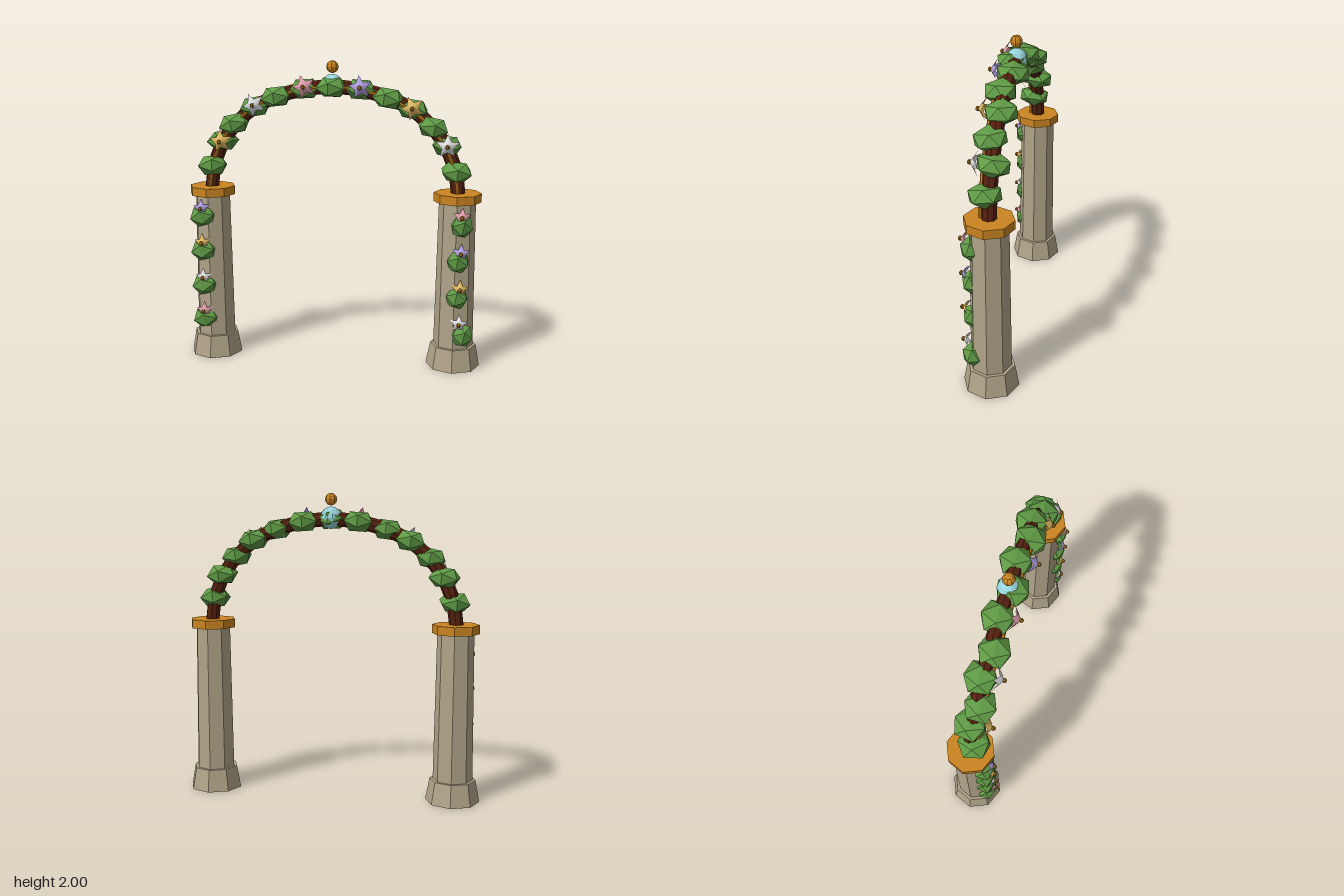
import * as THREE from 'three';

const mat = (name, color, extra = {}) => {
  const m = new THREE.MeshStandardMaterial({ color, flatShading: true, ...extra });
  m.name = name;
  return m;
};

export function createModel() {
  const group = new THREE.Group();
  const two = { side: THREE.DoubleSide };
  const stone = mat('stone', 0xb0a488);
  const orange = mat('orange gold', 0xc98420);
  const bark = mat('bark', 0x54200f);
  const green = mat('leaf green', 0x5f9a45);
  const blue = mat('pale blue', 0x98d4da);
  const stamen = mat('stamen gold', 0x9a6c1c);
  const petals = {
    pink: mat('pink petal', 0xdf9fac, two),
    lilac: mat('lilac petal', 0xb09fe2, two),
    yellow: mat('yellow petal', 0xdfb862, two),
    white: mat('white petal', 0xdedee2, two),
  };

  let seed = 7;
  const rand = () => (seed = (seed * 16807) % 2147483647) / 2147483647;

  const add = (name, geo, material, x, y, z) => {
    const m = new THREE.Mesh(geo, material);
    m.name = name;
    m.position.set(x, y, z);
    group.add(m);
    return m;
  };

  // Leaf clump: squashed icosahedron with a small turn
  const leafGeo = new THREE.IcosahedronGeometry(0.1, 0);
  const leaf = (x, y, z, sx, sy, sz, tilt = 0) => {
    const m = add('leafClump', leafGeo, green, x, y, z);
    m.scale.set(sx, sy, sz);
    m.rotation.set((rand() - 0.5) * 0.3, (rand() - 0.5) * 0.5, tilt);
  };

  // Five-pointed star flower, raised towards its centre
  const starPoints = [];
  for (let i = 0; i < 10; i++) {
    const a = Math.PI / 2 + (i * Math.PI) / 5;
    const r = i % 2 ? 0.5 : 1;
    starPoints.push(new THREE.Vector3(Math.cos(a) * r, Math.sin(a) * r, i % 2 ? -0.35 : -0.7));
  }
  const tris = [];
  starPoints.forEach((p, i) => tris.push(new THREE.Vector3(), p, starPoints[(i + 1) % 10]));
  const starGeo = new THREE.BufferGeometry().setFromPoints(tris);
  starGeo.computeVertexNormals();
  const stamenGeo = new THREE.SphereGeometry(0.015, 6, 5);
  const flower = (color, x, y, z, r, turn) => {
    const m = add('flower', starGeo, petals[color], x, y, z);
    m.scale.setScalar(r);
    m.rotation.z = turn;
    add('flowerCentre', stamenGeo, stamen, x, y, z);
  };

  // Pillars
  const drum = (rt, rb, h) => new THREE.CylinderGeometry(rt, rb, h, 8);
  for (const s of [-1, 1]) {
    const x = s * 0.815;
    add('pillarBase', drum(0.15, 0.177, 0.147), stone, x, 0.0735, 0);
    add('pillarShaft', drum(0.118, 0.13, 0.98), stone, x, 0.635, 0);
    add('pillarCap', drum(0.153, 0.153, 0.057), orange, x, 1.142, 0);
  }

  // Arch vine, with a thin golden cord along its front
  const half = [[0.82, 1.14], [0.795, 1.31], [0.73, 1.47], [0.64, 1.59],
    [0.51, 1.7], [0.36, 1.77], [0.18, 1.82]];
  const path = [...half.map(([x, y]) => [-x, y]), [0, 1.835], ...half.slice().reverse()];
  const curve = (z) => new THREE.CatmullRomCurve3(path.map(([x, y]) => new THREE.Vector3(x, y, z)));
  add('archVine', new THREE.TubeGeometry(curve(0), 32, 0.046, 8), bark, 0, 0, 0);
  add('archCord', new THREE.TubeGeometry(curve(0.05), 32, 0.011, 6), orange, 0, 0, 0);

  // Leaf clumps along the arch, alternating front and back
  path.slice(1, -1).forEach(([x, y], i) => {
    const front = i % 2 === 0;
    const tilt = -x * (Math.abs(x) > 0.7 ? 0.1 : 0.35);
    leaf(x * 1.01, y, front ? 0.025 : -0.012, 1.08, 0.72, 1.12, tilt);
  });

  // Arch flowers
  [['yellow', -0.725, 1.48, 0.1], ['white', -0.5, 1.72, 0.5], ['pink', -0.17, 1.84, 0.35],
    ['lilac', 0.19, 1.84, 0.15], ['yellow', 0.52, 1.715, 0.4], ['white', 0.745, 1.48, 0.0],
  ].forEach(([c, x, y, t]) => flower(c, x, y, 0.125, 0.077, t));

  // Pillar flowers with a leaf clump below each
  const rows = [1.04, 0.805, 0.565, 0.33];
  const left = ['lilac', 'yellow', 'white', 'pink'];
  const right = ['pink', 'lilac', 'yellow', 'white'];
  const rightLeafX = [0.848, 0.832, 0.832, 0.872];
  rows.forEach((y, i) => {
    flower(left[i], -0.855, y, 0.165, 0.06, 0.1);
    flower(right[i], 0.85, y, 0.165, 0.06, -0.05);
    leaf(-0.857, y - 0.06, 0.1, 0.95, 0.78, 0.72, 0.2);
    leaf(rightLeafX[i], y - 0.065 - (i === 3 ? 0.025 : 0), 0.1, 0.78, 0.85, 0.72, -0.2);
  });

  // Crown orb and finial
  add('crownOrb', new THREE.SphereGeometry(0.072, 10, 8), blue, 0, 1.845, 0);
  add('finial', new THREE.SphereGeometry(0.04, 8, 6), orange, 0, 1.963, 0);

  return group;
}
